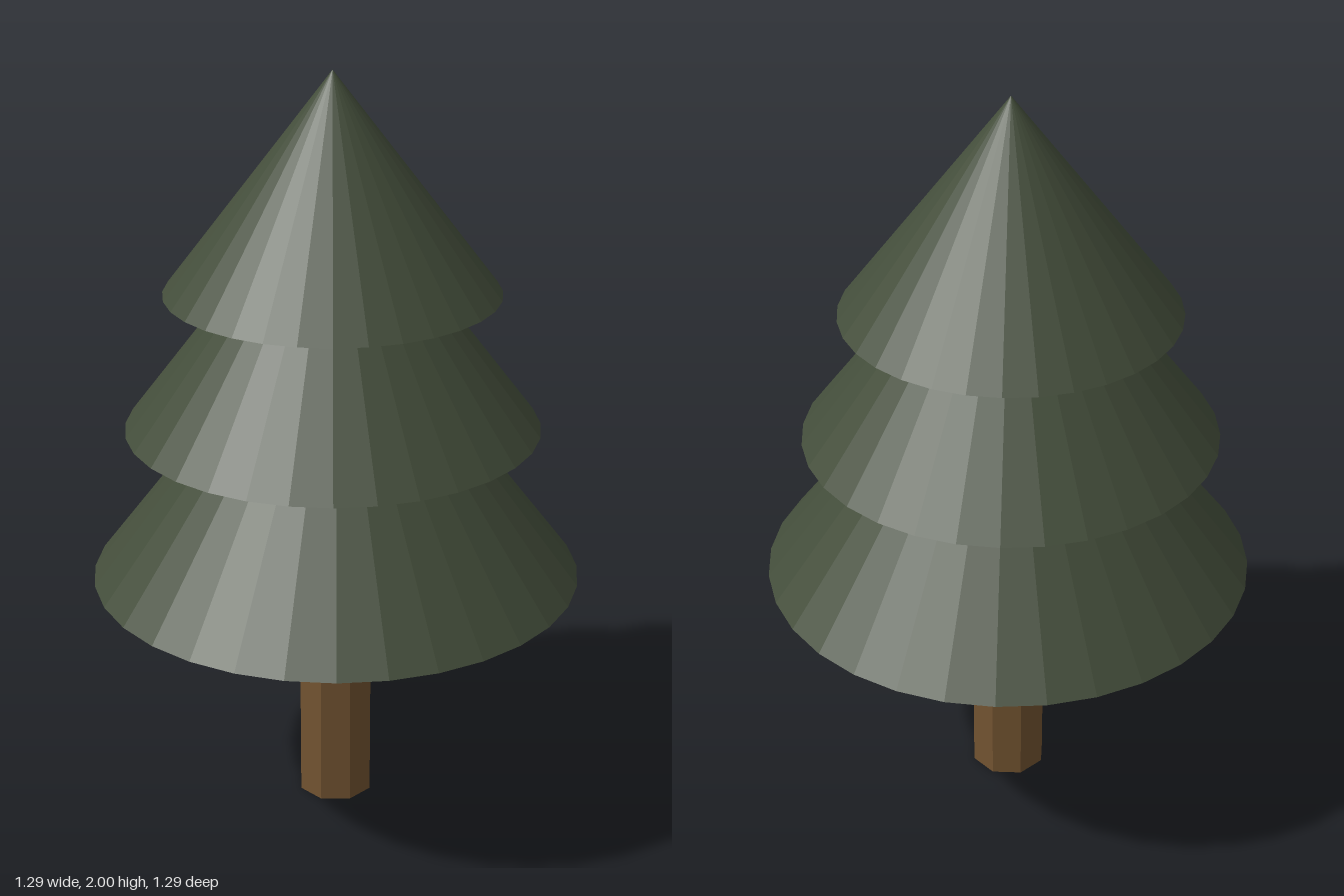
import * as THREE from 'three';

export function createModel() {
  const model = new THREE.Group();
  const needles = new THREE.MeshStandardMaterial({ color: 0x434d3a, flatShading: true });
  const bark = new THREE.MeshStandardMaterial({ color: 0x735431, flatShading: true });

  const add = (name, geometry, material, x, y, z) => {
    const mesh = new THREE.Mesh(geometry, material);
    mesh.name = name;
    mesh.position.set(x, y, z);
    model.add(mesh);
  };

  // Eight-sided trunk, ending just inside the lowest tier
  const trunkHeight = 0.72;
  add('trunk', new THREE.CylinderGeometry(0.103, 0.103, trunkHeight, 8), bark, 0.003, trunkHeight / 2, -0.011);

  // Overlapping cone tiers, each slightly off centre
  const tiers = [
    { name: 'lowerBranches', radius: 0.643, base: 0.675, height: 0.84, x: 0, z: 0 },
    { name: 'middleBranches', radius: 0.54, base: 1.08, height: 0.708, x: -0.003, z: -0.013 },
    { name: 'upperBranches', radius: 0.433, base: 1.435, height: 0.565, x: 0.002, z: -0.026 },
  ];
  for (const { name, radius, base, height, x, z } of tiers) {
    add(name, new THREE.ConeGeometry(radius, height, 32), needles, x, base + height / 2, z);
  }

  return model;
}
